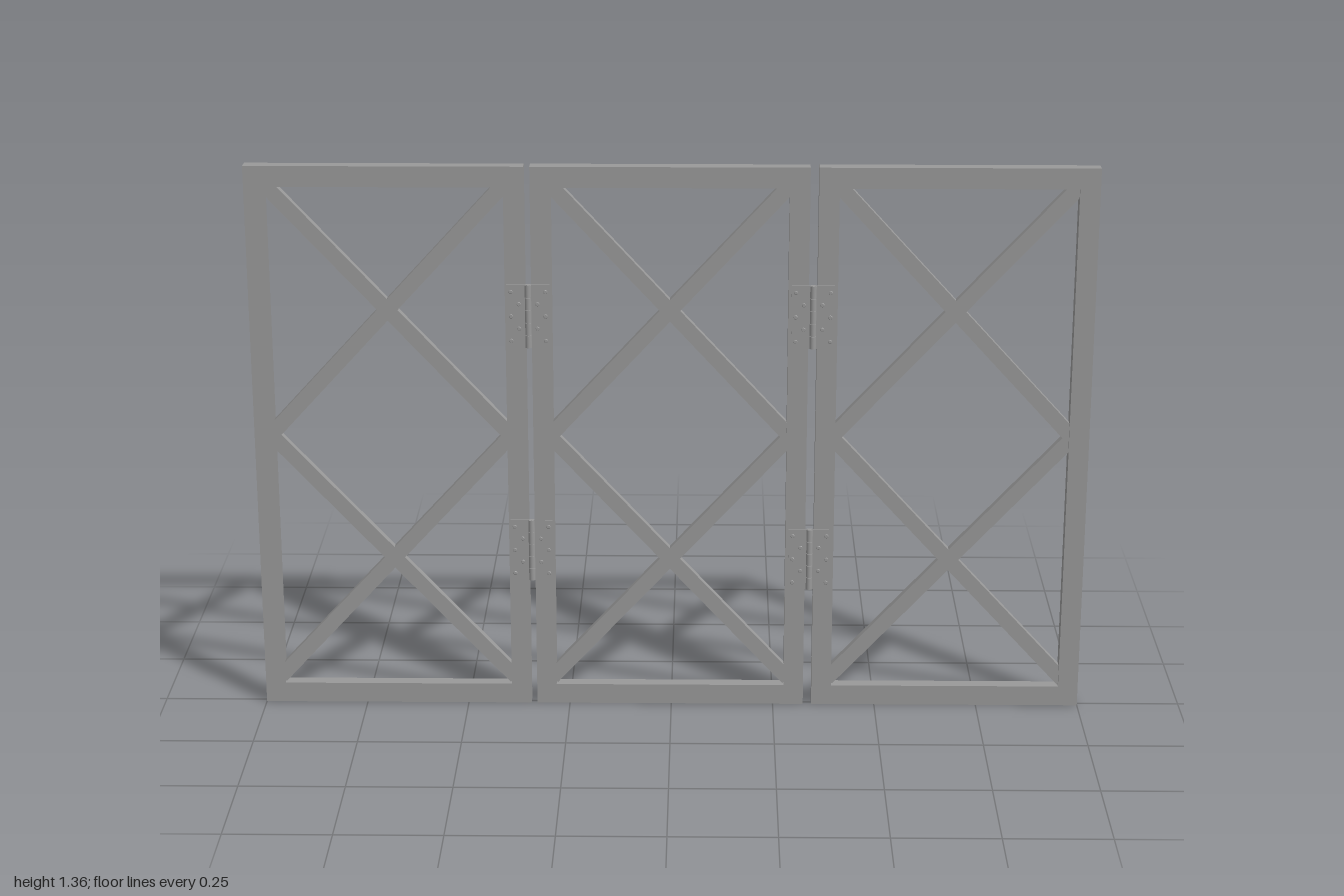
import * as THREE from 'three';

const material = new THREE.MeshStandardMaterial({ color: 0x999999 });
const H = 1.357, W = 0.655, STILE = 0.048, RAIL = 0.05;
const BACK = -0.02, FRONT = 0.012;

function add(parent, geometry, name, x = 0, y = 0, z = 0) {
  const mesh = new THREE.Mesh(geometry, material);
  mesh.name = name;
  mesh.position.set(x, y, z);
  parent.add(mesh);
  return mesh;
}

// Rectangular frame with an open middle and two stacked crosses
function createPanel(name, x) {
  const panel = new THREE.Group();
  panel.name = name;
  panel.position.x = x;

  const outline = new THREE.Shape([
    new THREE.Vector2(-W / 2, 0), new THREE.Vector2(W / 2, 0),
    new THREE.Vector2(W / 2, H), new THREE.Vector2(-W / 2, H),
  ]);
  const ix = W / 2 - STILE, y0 = RAIL, y1 = H - RAIL;
  outline.holes.push(new THREE.Path([
    new THREE.Vector2(-ix, y0), new THREE.Vector2(-ix, y1),
    new THREE.Vector2(ix, y1), new THREE.Vector2(ix, y0),
  ]));
  const frame = new THREE.ExtrudeGeometry(outline, { depth: FRONT - BACK, bevelEnabled: false });
  add(panel, frame, 'frame', 0, 0, BACK);

  // Diagonal braces, thinner than the frame so their ends tuck into it
  const span = 0.608;
  const length = Math.hypot(2 * ix, span) + 0.03;
  const angle = Math.atan2(span, 2 * ix);
  for (const cy of [0.38, 1.007]) {
    for (const side of [-1, 1]) {
      const brace = add(panel, new THREE.BoxGeometry(length, 0.036, 0.02), 'brace', 0, cy, (BACK + FRONT) / 2);
      brace.rotation.z = side * angle;
    }
  }
  return panel;
}

// Butt hinge: two thin screwed leaves and a knuckle barrel in the gap
function createHinge(x, y) {
  const hinge = new THREE.Group();
  hinge.name = 'hinge';
  hinge.position.set(x, y, FRONT);
  const height = 0.155, leafW = 0.047;
  for (const side of [-1, 1]) {
    add(hinge, new THREE.BoxGeometry(leafW, height, 0.003), 'hingeLeaf', side * (leafW / 2 + 0.004), 0, 0.0015);
    // Staggered screw heads, almost flush
    for (let i = 0; i < 5; i++) {
      const sx = side * (i % 2 ? 0.022 : 0.041);
      const screw = add(hinge, new THREE.CylinderGeometry(0.004, 0.005, 0.001, 12), 'screw', sx, (i - 2) * 0.03, 0.0035);
      screw.rotation.x = Math.PI / 2;
    }
  }
  const knuckles = 5, step = height / knuckles;
  for (let i = 0; i < knuckles; i++) {
    add(hinge, new THREE.CylinderGeometry(0.008, 0.008, step - 0.001, 16), 'knuckle', 0, (i - 2) * step, 0.001);
  }
  add(hinge, new THREE.CylinderGeometry(0.005, 0.005, height, 12), 'hingePin', 0, 0, 0.001);
  return hinge;
}

export function createModel() {
  const model = new THREE.Group();
  model.name = 'foldingScreen';

  model.add(createPanel('rightPanel', -1 + W / 2));
  model.add(createPanel('middlePanel', -0.003));
  model.add(createPanel('leftPanel', 1 - W / 2));

  for (const [x, y] of [[-0.338, 0.995], [-0.338, 0.404], [0.335, 0.995], [0.335, 0.383]]) {
    model.add(createHinge(x, y));
  }
  return model;
}
